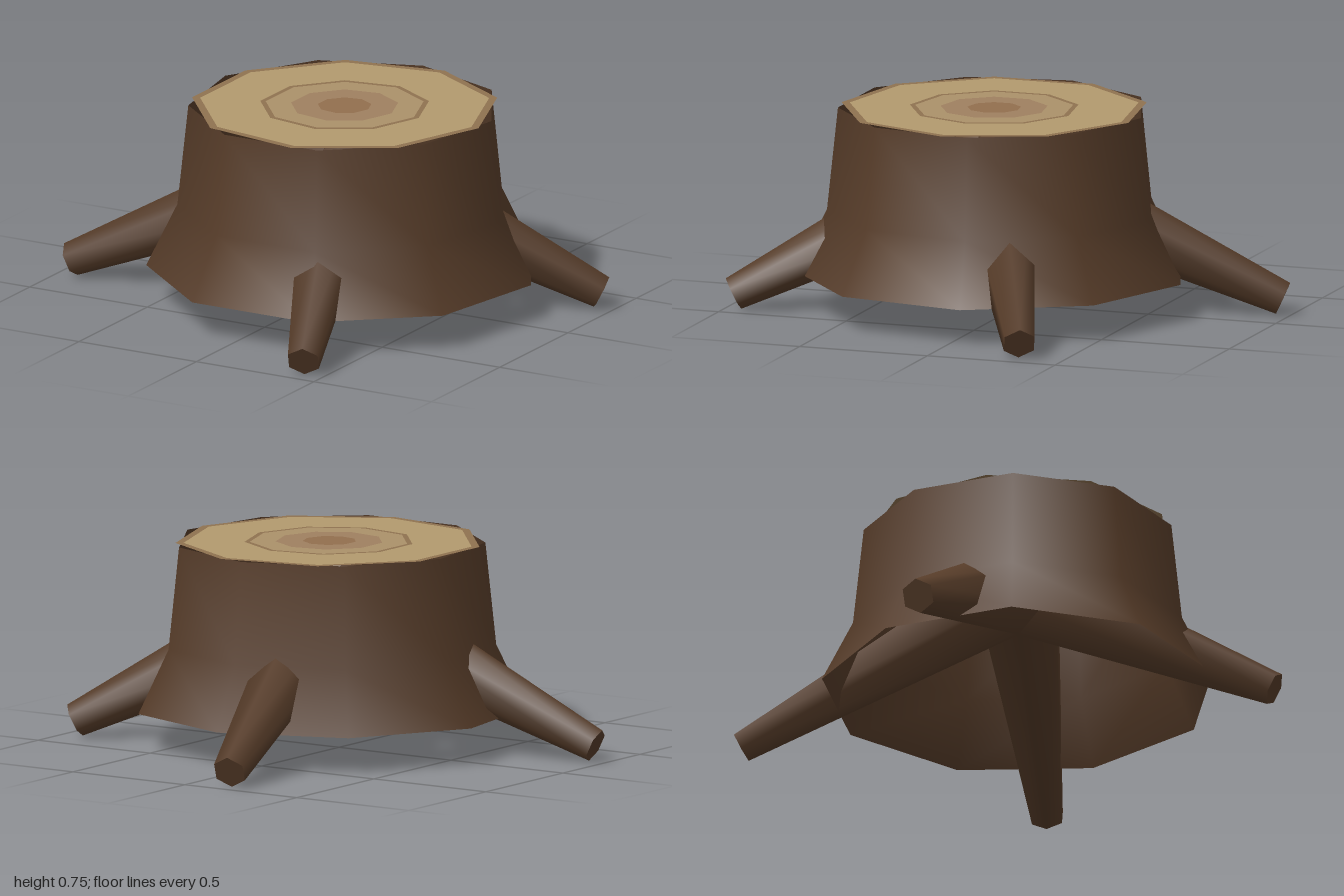
import * as THREE from 'three';

const SIDES = 9;
const CENTRE = new THREE.Vector3(0.09, 0, 0.07);

function material(color) {
  return new THREE.MeshStandardMaterial({ color, roughness: 1, side: THREE.DoubleSide });
}

// Nine-sided surface of revolution from [radius, height] pairs
function lathe(name, profile, phiStart, mat) {
  const points = profile.map(([r, y]) => new THREE.Vector2(r, y));
  const mesh = new THREE.Mesh(new THREE.LatheGeometry(points, SIDES, phiStart), mat);
  mesh.name = name;
  mesh.position.copy(CENTRE);
  return mesh;
}

// Tapered root running from the heart of the stump down to its tip
function root(name, x, z, mat) {
  const start = new THREE.Vector3(CENTRE.x, 0.54, CENTRE.z);
  const tip = new THREE.Vector3(x, 0.06, z);
  const axis = tip.clone().sub(start);
  const geometry = new THREE.CylinderGeometry(0.064, 0.165, axis.length(), 6);
  const mesh = new THREE.Mesh(geometry, mat);
  mesh.name = name;
  mesh.position.copy(start).add(tip).multiplyScalar(0.5);
  // Keep one ridge of the root uppermost
  const dir = axis.normalize();
  const side = new THREE.Vector3(0, 1, 0).cross(dir).normalize();
  const up = new THREE.Vector3().crossVectors(side, dir);
  mesh.quaternion.setFromRotationMatrix(new THREE.Matrix4().makeBasis(side, dir, up));
  return mesh;
}

export function createModel() {
  const model = new THREE.Group();
  model.name = 'treeStump';
  const bark = material(0x553b28);

  // Open bark shell, flared at the foot
  model.add(lathe('bark', [[0.73, 0.14], [0.615, 0.375], [0.575, 0.755]], Math.PI, bark));

  // Cut face: concentric bands from the rim to the heart
  const face = new THREE.Group();
  face.name = 'cutFace';
  const bands = [
    ['rim', 0.57, 0.54, 0x8f7250],
    ['sapwood', 0.54, 0.315, 0xb29a6e],
    ['growthRing', 0.315, 0.295, 0x8f7250],
    ['outerHeartwood', 0.295, 0.2, 0xab916a],
    ['innerHeartwood', 0.2, 0.1, 0x9f8060],
    ['pith', 0.1, 0, 0x926f4e],
  ];
  for (const [name, outer, inner, color] of bands) {
    face.add(lathe(name, [[outer, 0.755], [inner, 0.755]], Math.PI / 2, material(color)));
  }
  model.add(face);

  // Four roots
  const tips = [
    ['rightRoot', -0.95, 0.285],
    ['backRoot', -0.175, -0.965],
    ['leftRoot', 0.945, -0.34],
    ['frontRoot', 0.435, 0.965],
  ];
  for (const [name, x, z] of tips) model.add(root(name, x, z, bark));

  return model;
}
